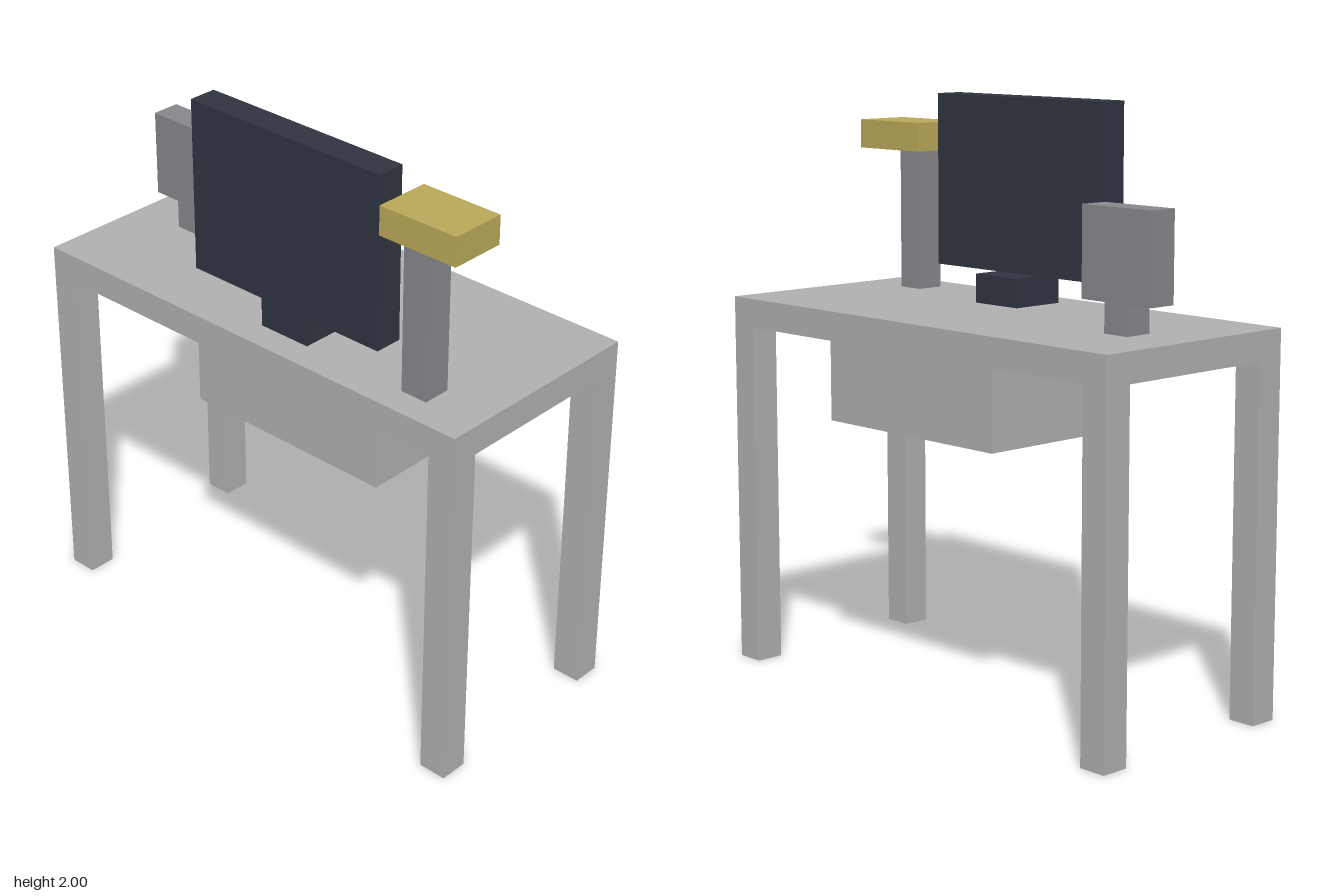
import * as THREE from 'three';

const deskGrey = new THREE.MeshStandardMaterial({ name: 'deskGrey', color: 0xb0b0b0 });
const metalGrey = new THREE.MeshStandardMaterial({ name: 'metalGrey', color: 0x87888d });
const screenNavy = new THREE.MeshStandardMaterial({ name: 'screenNavy', color: 0x2f3440 });
const lampYellow = new THREE.MeshStandardMaterial({ name: 'lampYellow', color: 0xb9a858 });

// Box spanning the given [min, max] range on each axis
function box(name, material, [x0, x1], [y0, y1], [z0, z1]) {
  const mesh = new THREE.Mesh(new THREE.BoxGeometry(x1 - x0, y1 - y0, z1 - z0), material);
  mesh.position.set((x0 + x1) / 2, (y0 + y1) / 2, (z0 + z1) / 2);
  mesh.name = name;
  return mesh;
}

function group(name, ...parts) {
  const g = new THREE.Group();
  g.name = name;
  return g.add(...parts);
}

export function createModel() {
  // Desk: top, four corner legs and a drawer box hung underneath
  const desk = group('desk',
    box('deskTop', deskGrey, [-0.9, 0.9], [1.2, 1.3], [-0.4, 0.4]),
    box('drawer', deskGrey, [-0.3, 0.5], [0.9, 1.2], [-0.3, 0.3]));
  for (const [xName, x] of [['Right', -0.9], ['Left', 0.8]]) {
    for (const [zName, z] of [['back', -0.4], ['front', 0.3]]) {
      desk.add(box(`${zName}${xName}Leg`, deskGrey, [x, x + 0.1], [0, 1.2], [z, z + 0.1]));
    }
  }

  // Monitor on a foot that reaches back behind the screen
  const monitor = group('monitor',
    box('screen', screenNavy, [-0.3, 0.5], [1.4, 2], [0.2, 0.3]),
    box('screenFoot', screenNavy, [0, 0.2], [1.3, 1.4], [0.1, 0.3]));

  // Lamp: post with a flat head
  const lamp = group('lamp',
    box('lampPost', metalGrey, [0.6, 0.7], [1.3, 1.8], [0.2, 0.3]),
    box('lampHead', lampYellow, [0.5, 0.8], [1.8, 1.9], [0.1, 0.3]));

  // Small upright panel on a stem
  const panel = group('smallPanel',
    box('panelPlate', metalGrey, [-0.8, -0.5], [1.4, 1.7], [-0.1, 0]),
    box('panelStem', metalGrey, [-0.7, -0.6], [1.3, 1.4], [-0.1, 0]));

  return group('deskWithMonitor', desk, monitor, lamp, panel);
}
